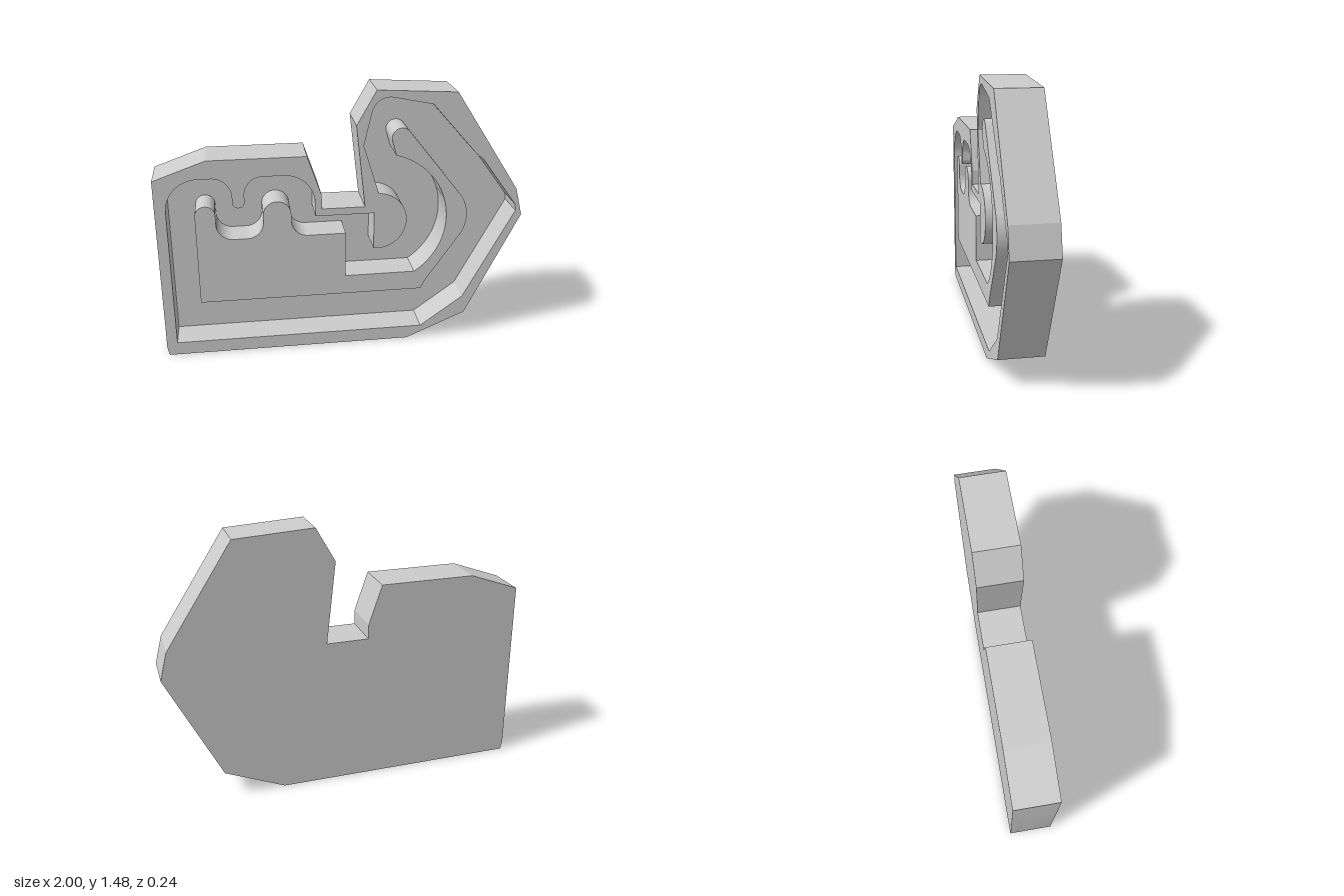
import * as THREE from 'three';
import { toCreasedNormals } from 'three/addons/utils/BufferGeometryUtils.js';

const PI = Math.PI;
const BACK = -0.12, FLOOR = -0.057, FRONT = 0.12;

// Steps with 2 numbers are corners; steps with 5 or 6 are arcs:
// centre x, centre y, radius, start angle, end angle, clockwise (default true)
// Every path begins with two corners.
function trace(path, steps) {
  steps.forEach((s, i) => {
    if (s.length > 2) path.absarc(s[0], s[1], s[2], s[3], s[4], s[5] ?? true);
    else if (i === 0) path.moveTo(s[0], s[1]);
    else path.lineTo(s[0], s[1]);
  });
  path.closePath();
  return path;
}

// Outer silhouette of the block, counter-clockwise
const outline = [
  [-0.99, 0], [0.37, 0], [0.705, 0.145], [1, 0.745], [0.96, 0.9],
  [0.6, 1.455], [0.17, 1.48], [0.065, 1.295], [0.115, 0.84], [-0.12, 0.84],
  [-0.12, 0.92], [-0.195, 1.14], [-0.72, 1.14], [-1, 1.04], [-1, 0.05],
];

// Edge of the recess
const recess = [
  [0.45, 0.075], [-0.942, 0.075],
  [-0.767, 0.865, 0.175, PI, PI / 2],
  [-0.7, 0.935, 0.105, PI / 2, 0],
  [-0.5625, 0.902, 0.0325, PI, 2 * PI, false],
  [-0.43, 0.94, 0.1, PI, PI / 2],
  [-0.32, 0.875, 0.165, PI / 2, 0],
  [-0.155, 0.8], [0.165, 0.8],
  [0.185, 0.75, 0.162, -1.69, 1.54, false],
  [0.105, 1.185],
  [0.24, 1.345, 0.095, 2.9, 1.36],
  [0.47, 1.395], [0.725, 1.107], [0.76, 1.08], [0.96, 0.807],
  [0.965, 0.77], [0.69, 0.25],
];

// Raised island that leaves a channel all around it
const island = [
  [0.44, 0.32], [-0.795, 0.32],
  [-0.741, 0.832, 0.054, PI, 0],
  [-0.597, 0.78, 0.09, PI, 1.5 * PI, false],
  [-0.525, 0.78, 0.09, 1.5 * PI, 2 * PI, false],
  [-0.36, 0.82, 0.075, PI, 0],
  [-0.195, 0.78, 0.09, PI, 1.5 * PI, false],
  [0.01, 0.69], [0.01, 0.43],
  [0.185, 0.75, 0.385, -0.979, 1.32, false],
  [0.308, 1.22, 0.053, 3.36, 0.645],
  [0.473, 0.757, 0.213, 0.56, -0.56],
  [0.465, 0.37],
];

export function createModel() {
  const group = new THREE.Group();
  const material = new THREE.MeshStandardMaterial({ color: 0xcccccc });

  const addSlab = (name, shape, z0, z1) => {
    const geo = new THREE.ExtrudeGeometry(shape, {
      depth: z1 - z0, bevelEnabled: false, curveSegments: 24,
    });
    geo.translate(0, 0, z0);
    const mesh = new THREE.Mesh(toCreasedNormals(geo, 0.25), material);
    mesh.name = name;
    group.add(mesh);
  };

  // Solid back that forms the channel floor
  addSlab('backPlate', trace(new THREE.Shape(), outline), BACK, FLOOR);

  // Surrounding wall with the recess cut through it
  const wall = trace(new THREE.Shape(), outline);
  wall.holes.push(trace(new THREE.Path(), recess));
  addSlab('outerWall', wall, FLOOR, FRONT);

  // Inner island, flush with the wall
  addSlab('innerIsland', trace(new THREE.Shape(), island), FLOOR, FRONT);

  return group;
}
